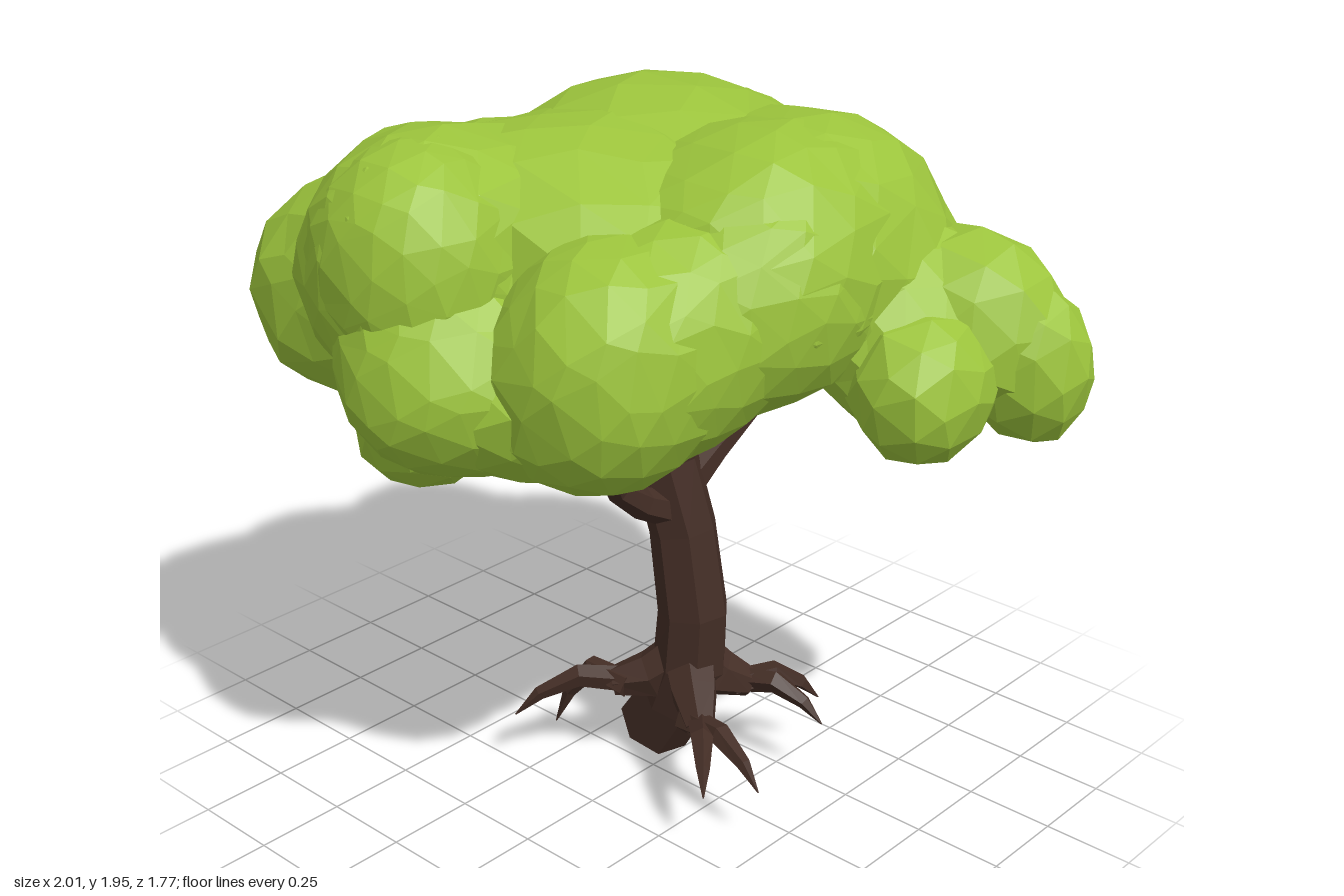
import * as THREE from 'three';

const bark = new THREE.MeshStandardMaterial({ color: 0x432d25, flatShading: true });
const leaf = new THREE.MeshStandardMaterial({ color: 0x9cc43c, flatShading: true });
const UP = new THREE.Vector3(0, 1, 0);

// Bends a capped cylinder along [x, y, z, radius] stations
function limb(name, stations, sides = 6) {
  const n = stations.length - 1;
  const pts = stations.map(s => new THREE.Vector3(s[0], s[1], s[2]));
  const geo = new THREE.CylinderGeometry(1, 1, 1, sides, n);
  const frames = pts.map((p, i) => {
    const dir = pts[Math.min(i + 1, n)].clone().sub(pts[Math.max(i - 1, 0)]).normalize();
    return new THREE.Quaternion().setFromUnitVectors(UP, dir);
  });
  const pos = geo.attributes.position;
  const v = new THREE.Vector3();
  for (let k = 0; k < pos.count; k++) {
    const i = Math.round((pos.getY(k) + 0.5) * n);
    const r = stations[i][3];
    v.set(pos.getX(k) * r, 0, pos.getZ(k) * r).applyQuaternion(frames[i]).add(pts[i]);
    pos.setXYZ(k, v.x, v.y, v.z);
  }
  geo.computeVertexNormals();
  const mesh = new THREE.Mesh(geo, bark);
  mesh.name = name;
  return mesh;
}

// Leaf clumps: centre x, y, z, then radii x, y, z
const clumps = [
  [-0.1, 1.59, -0.15, 0.45, 0.37, 0.42],   // crown top
  [-0.1, 1.6, 0.2, 0.42, 0.3, 0.35],
  [0.32, 1.58, -0.25, 0.32, 0.33, 0.36],   // right
  [0.33, 1.61, -0.02, 0.29, 0.3, 0.3],
  [0.38, 1.52, 0.06, 0.25, 0.25, 0.26],
  [0.34, 1.46, 0.28, 0.21, 0.26, 0.22],
  [0.27, 1.42, 0.47, 0.24, 0.3, 0.24],     // front right
  [0.08, 1.31, 0.52, 0.2, 0.17, 0.2],
  [-0.27, 1.6, 0.5, 0.3, 0.32, 0.34],      // front
  [-0.1, 1.36, 0.64, 0.24, 0.23, 0.25],
  [-0.17, 1.66, 0.64, 0.21, 0.24, 0.21],
  [-0.58, 1.45, 0.43, 0.29, 0.3, 0.34],    // front left
  [-0.51, 1.5, 0.06, 0.3, 0.3, 0.3],
  [-0.45, 1.48, -0.37, 0.28, 0.3, 0.28],   // back left
  [-0.1, 1.42, -0.6, 0.24, 0.29, 0.29],    // back
  [-0.1, 1.56, -0.42, 0.37, 0.28, 0.26],
  [0.22, 1.45, -0.46, 0.28, 0.28, 0.2],
  [-0.1, 1.15, -0.7, 0.17, 0.19, 0.16],    // back hanging clump
  [-0.31, 1.14, 0.52, 0.18, 0.16, 0.18],   // front hanging clump
  [-0.66, 1.27, 0.33, 0.22, 0.15, 0.2],    // far left
  [-0.85, 1.25, 0.31, 0.15, 0.17, 0.17],
  [0.57, 1.38, -0.32, 0.17, 0.23, 0.25],   // far right
  [0.71, 1.43, -0.43, 0.19, 0.22, 0.18],
  [0.86, 1.31, -0.48, 0.14, 0.19, 0.14],
  [0.73, 1.3, -0.18, 0.15, 0.18, 0.18],
];

// Approximate signed distance to one clump
function distance(p, [x, y, z, a, b, c]) {
  const q = Math.hypot((p.x - x) / a, (p.y - y) / b, (p.z - z) / c);
  return (q - 1) * (a + b + c) / 3;
}

// Soft union of all clumps, used to fill the creases between them
function blend(p) {
  const k = 0.045;
  return -k * Math.log(clumps.reduce((s, c) => s + Math.exp(-distance(p, c) / k), 0));
}

function leafClump(c, index) {
  const radius = (c[3] + c[4] + c[5]) / 3;
  const geo = new THREE.IcosahedronGeometry(1, radius > 0.2 ? 2 : 1);
  const pos = geo.attributes.position;
  const v = new THREE.Vector3();
  const dir = new THREE.Vector3();
  for (let i = 0; i < pos.count; i++) {
    dir.fromBufferAttribute(pos, i);
    // Uneven hand-cut facets
    const bump = 1.015 + 0.03 * Math.sin(dir.x * 5 + index * 2.1)
      * Math.cos(dir.y * 4.3 + index) + 0.02 * Math.sin(dir.z * 7 + dir.x * 4 + index * 1.3);
    const slide = 0.1 * Math.sin(dir.y * 9 + dir.z * 6 + index);
    dir.set(dir.x + slide, dir.y - slide * 0.7, dir.z + slide * 0.5).normalize();
    v.set(c[0] + dir.x * c[3] * bump, c[1] + dir.y * c[4] * bump, c[2] + dir.z * c[5] * bump);
    v.addScaledVector(dir, THREE.MathUtils.clamp(-blend(v), 0, 0.07));
    pos.setXYZ(i, v.x, v.y, v.z);
  }
  geo.computeVertexNormals();
  const mesh = new THREE.Mesh(geo, leaf);
  mesh.name = 'leafClump' + (index + 1);
  return mesh;
}

export function createModel() {
  const tree = new THREE.Group();
  tree.name = 'tree';

  // Trunk with an obliquely cut foot, bending into the main right branch
  tree.add(limb('trunk', [
    [-0.09, 0.065, -0.11, 0.11], [0, 0.2, -0.1, 0.105], [0.06, 0.34, -0.09, 0.105],
    [0.07, 0.5, -0.09, 0.1], [0.03, 0.74, -0.09, 0.095], [-0.02, 0.95, -0.065, 0.095],
    [0, 1.1, -0.05, 0.095], [0.1, 1.2, -0.07, 0.08], [0.3, 1.27, -0.14, 0.06], [0.62, 1.36, -0.3, 0.035],
  ], 7));

  // Branches reaching into the leaves
  const branches = new THREE.Group();
  branches.name = 'branches';
  branches.add(
    limb('leftBranch', [[0, 0.9, -0.06, 0.05], [-0.11, 0.98, 0.01, 0.045], [-0.24, 1.05, 0.1, 0.035],
      [-0.42, 1.1, 0.17, 0.028], [-0.62, 1.19, 0.22, 0.018]]),
    limb('frontBranch', [[0.02, 0.8, -0.06, 0.05], [0.01, 0.86, 0.06, 0.045], [0.01, 0.93, 0.15, 0.036],
      [0.05, 1.03, 0.22, 0.03], [0.15, 1.1, 0.26, 0.022], [0.28, 1.18, 0.28, 0.014]]),
    limb('backBranch', [[0.01, 0.86, -0.1, 0.06], [0, 0.92, -0.24, 0.045], [-0.01, 0.98, -0.4, 0.032],
      [-0.02, 1.05, -0.55, 0.022], [-0.03, 1.16, -0.62, 0.014]]),
  );
  tree.add(branches);

  // Each root arches out to a knuckle, then splits into drooping fingers
  const roots = new THREE.Group();
  roots.name = 'roots';
  const rootPlan = [
    { knuckle: [0.22, 0.24, 0.05], tips: [[0.47, 0.17, 0.1], [0.39, 0.18, 0.23]] },
    { knuckle: [0.18, 0.26, -0.21], tips: [[0.3, 0.19, -0.37], [0.4, 0.19, -0.26]] },
    { knuckle: [-0.1, 0.27, -0.22], tips: [[-0.29, 0.18, -0.38], [-0.15, 0.19, -0.38]] },
    { knuckle: [-0.1, 0.27, 0.06], tips: [[-0.28, 0.18, 0.27], [-0.29, 0.08, 0.1]] },
  ];
  rootPlan.forEach(({ knuckle: [kx, ky, kz], tips }, i) => {
    roots.add(limb('root' + (i + 1), [
      [0.05, 0.36, -0.09, 0.08], [(kx + 0.05) / 2, 0.29, (kz - 0.09) / 2, 0.07], [kx, ky, kz, 0.042],
    ]));
    tips.forEach(([x, y, z]) => {
      const at = (t, h, r) => [kx + (x - kx) * t, h, kz + (z - kz) * t, r];
      roots.add(limb('rootFinger', [
        at(-0.25, ky, 0.04), at(0.35, ky + 0.025, 0.033), at(0.75, (ky + y) / 2 + 0.02, 0.02), at(1, y, 0.002),
      ], 5));
    });
  });
  tree.add(roots);

  // Canopy of merged clumps
  const canopy = new THREE.Group();
  canopy.name = 'canopy';
  clumps.forEach((c, i) => canopy.add(leafClump(c, i)));
  tree.add(canopy);
  return tree;
}
